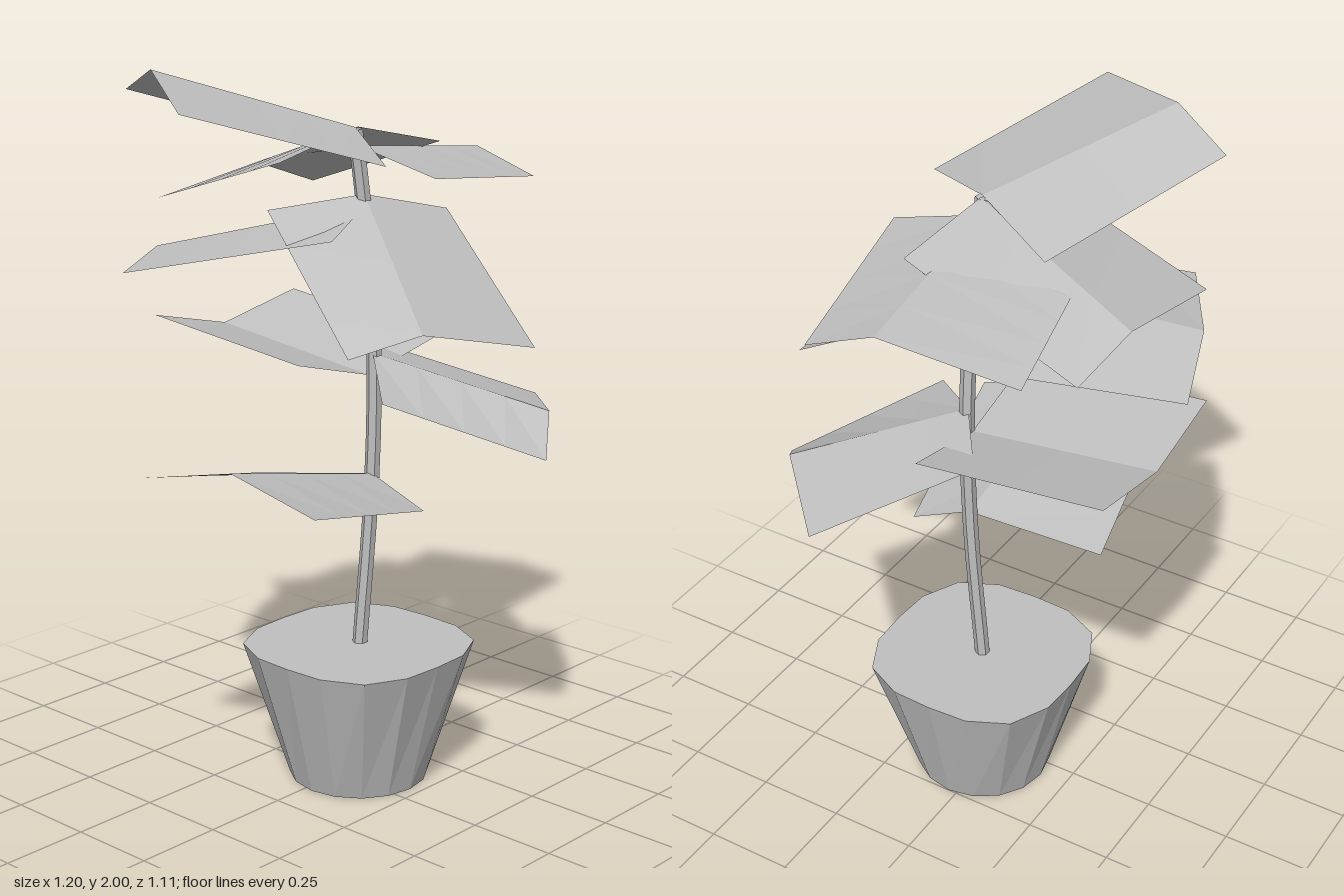
import * as THREE from 'three';

const V = (p) => new THREE.Vector3(...p);

// Folded sheet: two strips either side of a rib, given base and tip as [edge, rib, edge]
function leafGeometry(base, tip) {
  const rows = 4, pos = [], index = [];
  for (let i = 0; i <= rows; i++) {
    for (let j = 0; j < 3; j++) {
      const p = V(base[j]).lerp(V(tip[j]), i / rows);
      pos.push(p.x, p.y, p.z);
    }
  }
  // choose the corner order that makes the faces look upwards
  const across = V(base[2]).sub(V(base[0]));
  const along = V(tip[1]).sub(V(base[1]));
  const up = across.cross(along).y > 0;
  for (let i = 0; i < rows; i++) {
    for (let j = 0; j < 2; j++) {
      const a = i * 3 + j, b = a + 1, c = a + 3, d = a + 4;
      if (up) index.push(a, b, d, a, d, c);
      else index.push(a, d, b, a, c, d);
    }
  }
  const g = new THREE.BufferGeometry();
  g.setAttribute('position', new THREE.Float32BufferAttribute(pos, 3));
  g.setIndex(index);
  g.computeVertexNormals();
  return g;
}

export function createModel() {
  const group = new THREE.Group();
  const grey = new THREE.MeshStandardMaterial({ color: 0xbfbfbf, flatShading: true, side: THREE.DoubleSide });
  grey.name = 'plain grey';

  const add = (name, geometry) => {
    const mesh = new THREE.Mesh(geometry, grey);
    mesh.name = name;
    group.add(mesh);
    return mesh;
  };

  // Pot: round foot widening into a rounded-square rim
  const potGeo = new THREE.CylinderGeometry(0.29, 0.195, 0.39, 16);
  const p = potGeo.attributes.position;
  for (let i = 0; i < p.count; i++) {
    if (p.getY(i) < 0) continue;
    const s = Math.sin(2 * Math.atan2(p.getZ(i), p.getX(i)));
    const k = 1 + 0.12 * s * s;
    p.setX(i, p.getX(i) * k);
    p.setZ(i, p.getZ(i) * k);
  }
  add('pot', potGeo).position.set(0.055, 0.195, 0.025);

  // Stem: gently bent tube with a closed top
  const path = new THREE.CatmullRomCurve3([
    [0.058, 0.37, 0.025], [0.078, 0.85, 0.05], [0.08, 1.25, 0.055],
    [0.055, 1.55, 0.05], [0.018, 1.835, 0.04],
  ].map(V));
  add('stem', new THREE.TubeGeometry(path, 12, 0.021, 6));
  const cap = add('stemTop', new THREE.CircleGeometry(0.021, 6));
  cap.rotation.x = -Math.PI / 2;
  cap.position.set(0.018, 1.835, 0.04);

  // Leaves from bottom to top: [base edge, base rib, base edge], [tip edge, tip rib, tip edge]
  const leaves = [
    [[[0.09, 0.81, 0.23], [0.075, 0.885, 0.055], [-0.005, 0.83, -0.315]],
      [[-0.443, 0.93, 0.326], [-0.475, 1.005, 0.06], [-0.542, 0.952, -0.215]]],
    [[[0.27, 1.195, -0.085], [0.075, 1.225, 0.055], [-0.105, 1.15, 0.25]],
      [[0.572, 1.05, 0.23], [0.335, 1.085, 0.46], [0.208, 0.99, 0.55]]],
    [[[-0.2, 1.235, 0.04], [0.078, 1.16, 0.04], [0.355, 1.22, 0.04]],
      [[-0.2, 1.29, -0.51], [0.07, 1.225, -0.51], [0.355, 1.28, -0.51]]],
    [[[-0.2, 1.58, 0.16], [0.055, 1.63, 0.045], [0.29, 1.51, -0.08]],
      [[-0.485, 1.476, -0.32], [-0.21, 1.49, -0.485], [0.008, 1.41, -0.555]]],
    [[[-0.2, 1.635, -0.07], [0.05, 1.66, 0.045], [0.325, 1.595, 0.1]],
      [[-0.363, 1.333, 0.365], [-0.19, 1.38, 0.458], [0.167, 1.3, 0.535]]],
    [[[-0.255, 1.775, 0.03], [0.03, 1.84, 0.04], [0.3, 1.78, 0.095]],
      [[-0.2, 1.62, -0.49], [0.165, 1.68, -0.47], [0.355, 1.61, -0.43]]],
    [[[0.166, 1.72, -0.3], [0.03, 1.79, 0.04], [0.056, 1.725, 0.287]],
      [[0.5, 1.66, -0.361], [0.575, 1.73, 0.0], [0.598, 1.66, 0.187]]],
    [[[0.13, 1.775, -0.206], [0.018, 1.84, 0.042], [-0.137, 1.778, 0.287]],
      [[-0.334, 1.93, -0.458], [-0.408, 2.0, -0.28], [-0.605, 1.93, 0.032]]],
  ];
  leaves.forEach(([base, tip], i) => add('leaf' + (i + 1), leafGeometry(base, tip)));

  return group;
}
